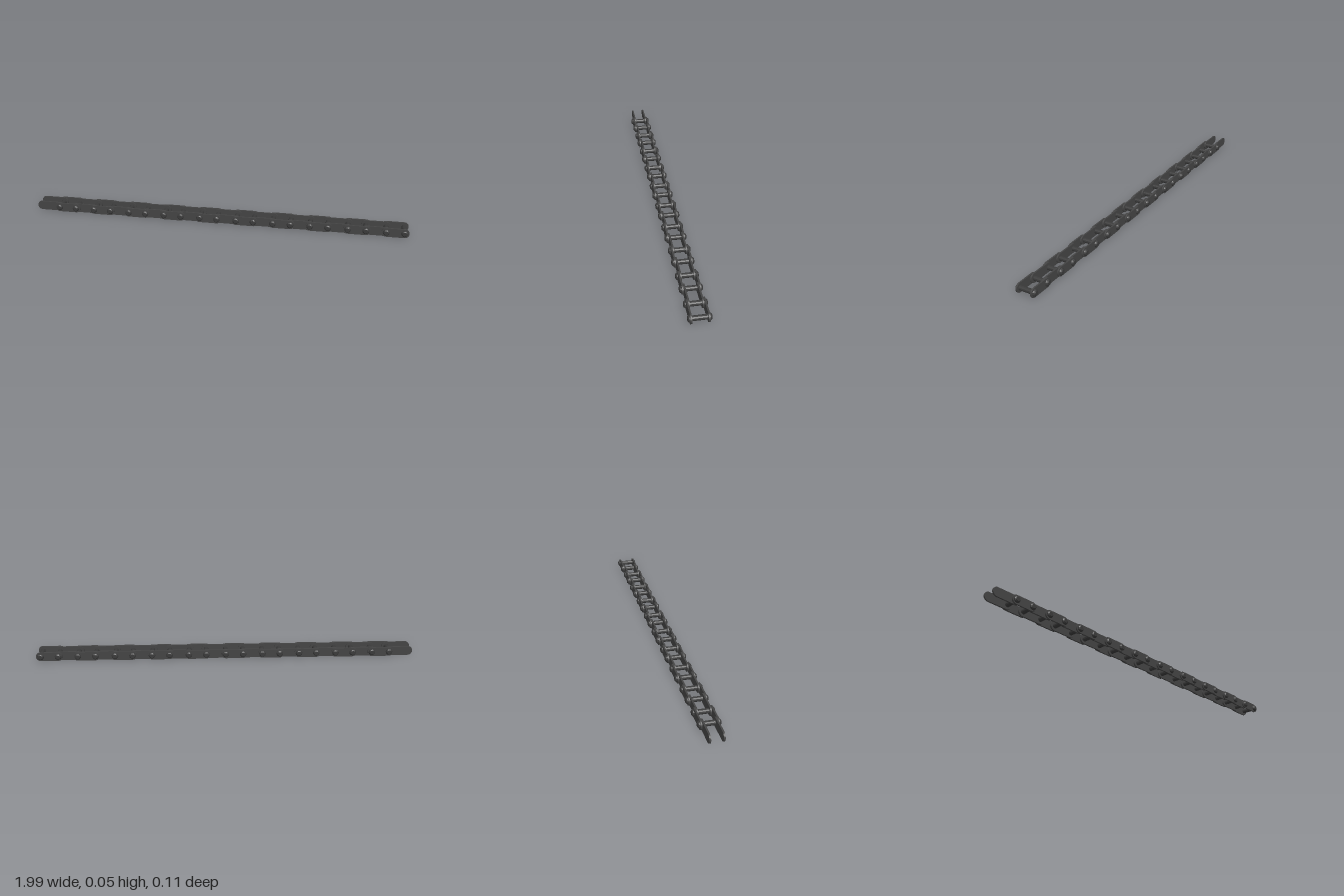
import * as THREE from 'three';

const R = 0.024;        // plate end radius = half the chain height
const PERIOD = 0.1945;  // one inner plus one outer link
const OUTER = 0.092;    // pin spacing on an outer link
const FIRST = -0.87;    // first pin
const PAIRS = 10;

// Flat link plate with round ends, from x = 0 to x = span (pin centres)
function plateGeometry(span, thickness) {
  const s = new THREE.Shape();
  s.absarc(span, 0, R, -Math.PI / 2, Math.PI / 2, false);
  s.absarc(0, 0, R, Math.PI / 2, Math.PI * 1.5, false);
  s.closePath();
  const g = new THREE.ExtrudeGeometry(s, { depth: thickness, bevelEnabled: false, curveSegments: 8 });
  return g.translate(0, 0, -thickness / 2);
}

export function createModel() {
  const model = new THREE.Group();
  model.name = 'rollerChain';
  const plateMat = new THREE.MeshStandardMaterial({ color: 0x444444 });
  const pinMat = new THREE.MeshStandardMaterial({ color: 0x3a3a3a, flatShading: true });

  const add = (name, geo, mat, x, z) => {
    const m = new THREE.Mesh(geo, mat);
    m.name = name;
    m.position.set(x, R, z);
    model.add(m);
  };

  const T = 0.0078;
  const inner = plateGeometry(PERIOD - OUTER, T);
  const outer = plateGeometry(OUTER, T);

  // Roller and domed rivet heads as one turned pin
  const profile = [
    [0, -0.0535], [0.011, -0.0535], [0.016, -0.049], [0.018, -0.0435], [0.018, -0.042], [0.0125, -0.042],
    [0.0125, 0.042], [0.018, 0.042], [0.018, 0.0435], [0.016, 0.049], [0.011, 0.0535], [0, 0.0535],
  ].map(([r, y]) => new THREE.Vector2(r, y));
  const pin = new THREE.LatheGeometry(profile, 12).rotateX(Math.PI / 2);

  for (let i = 0; i < PAIRS; i++) {
    const x = FIRST + i * PERIOD;
    for (const side of [1, -1]) {
      add('innerPlate', inner, plateMat, x - (PERIOD - OUTER), side * 0.0318);
      add('outerPlate', outer, plateMat, x, side * 0.0397);
    }
    add('pin', pin, pinMat, x, 0);
    add('pin', pin, pinMat, x + OUTER, 0);
  }
  return model;
}
